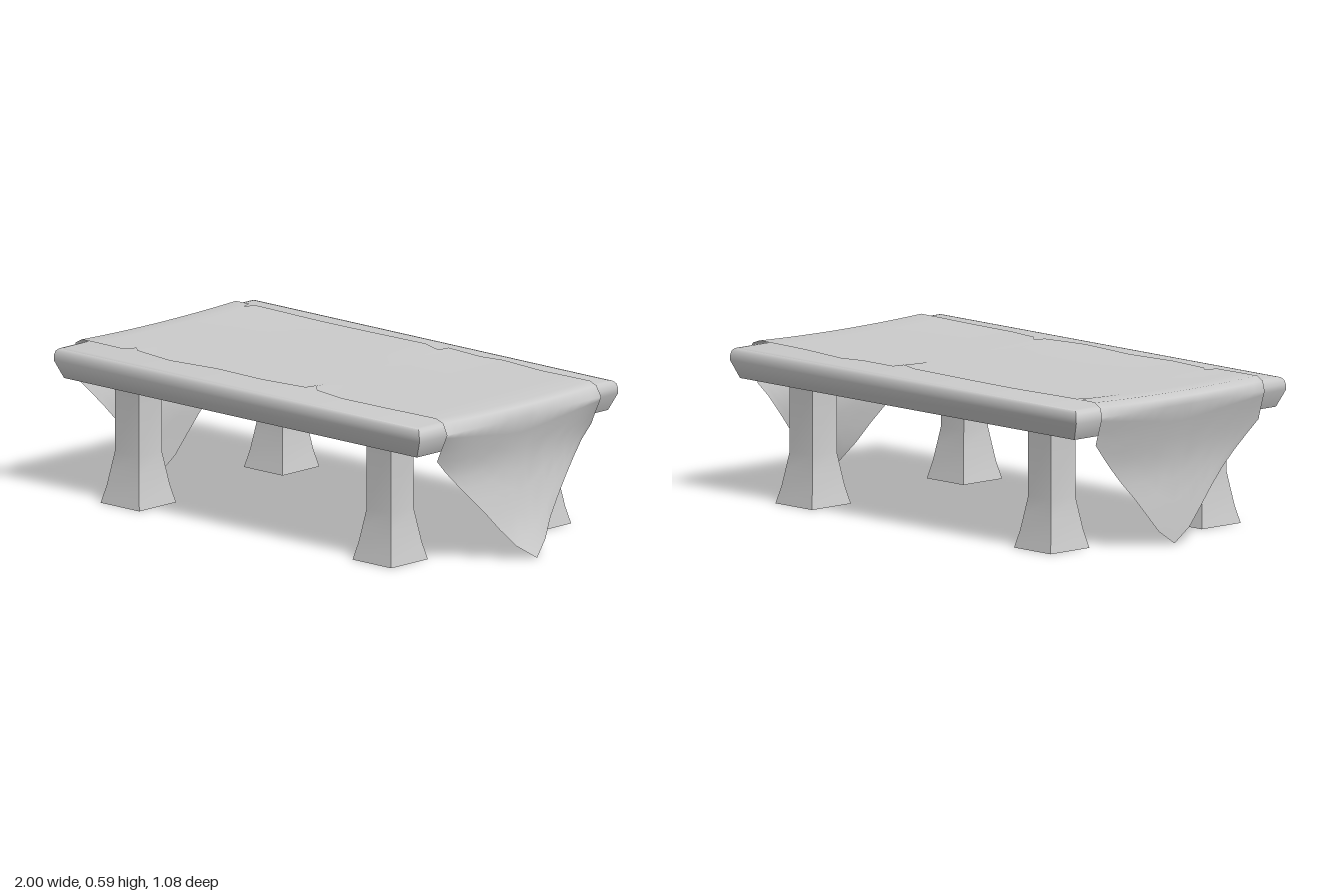
import * as THREE from 'three';
import { toCreasedNormals } from 'three/addons/utils/BufferGeometryUtils.js';

// Piecewise-linear lookup through [input, output] pairs sorted by input
function lookup(points, v) {
  if (v <= points[0][0]) return points[0][1];
  for (let i = 1; i < points.length; i++) {
    const [a, b] = [points[i - 1], points[i]];
    if (v <= b[0]) return a[1] + (b[1] - a[1]) * (v - a[0]) / (b[0] - a[0]);
  }
  return points[points.length - 1][1];
}

// Closed solid from stacked rectangles: [y, halfX, halfZ], bottom to top
function stackedBox(levels, crease) {
  const pos = [];
  const ring = ([y, hx, hz]) => [[-hx, y, hz], [hx, y, hz], [hx, y, -hz], [-hx, y, -hz]];
  const quad = (a, b, c, d) => pos.push(...a, ...b, ...c, ...a, ...c, ...d);
  for (let i = 0; i < levels.length - 1; i++) {
    const lo = ring(levels[i]), hi = ring(levels[i + 1]);
    for (let k = 0; k < 4; k++) quad(lo[k], lo[(k + 1) % 4], hi[(k + 1) % 4], hi[k]);
  }
  const bottom = ring(levels[0]), top = ring(levels[levels.length - 1]);
  quad(...bottom.reverse());
  quad(...top);
  const g = new THREE.BufferGeometry();
  g.setAttribute('position', new THREE.Float32BufferAttribute(pos, 3));
  return toCreasedNormals(g, crease);
}

// Cloth: ragged long edges on the top, pointed flaps hanging over both ends
function clothGeometry() {
  const front = [[-1, .42], [-.74, .42], [-.72, .375], [-.69, .4], [-.5, .425], [-.28, .4], [-.03, .415],
    [.17, .39], [.18, .345], [.23, .39], [.38, .415], [.93, .415]];
  const back = [[-1, -.42], [-.89, -.42], [-.875, -.375], [-.865, -.42], [.02, -.42], [.12, -.385],
    [.125, -.435], [.3, -.425], [.4, -.445], [.62, -.42], [.93, -.42]];
  const hem = [[0, .005], [.08, .06], [.2, .2], [.42, .43]];
  const leftFall = [[0, -.953], [.12, -.948], [.28, -.937], [.35, -.947], [.45, -.972], [.54, -1]];
  const rightFall = [[0, 1], [.06, .965], [.13, .935], [.29, .9], [.37, .892], [.45, .908], [.54, .93]];
  const half = [.1, .19, .33, .476, .62, .75, .88, 1];
  const rows = [...half.map(t => -t).reverse(), 0, ...half];

  // One flap station, s = 0 at the table edge and 1 at the hem
  const flap = (fall, side, s) => rows.map(t => {
    const z = t * .42, y = THREE.MathUtils.lerp(.54, lookup(hem, Math.abs(z)), s);
    const tuck = side > 0 ? -.025 * s * Math.pow(Math.abs(t), 3) : 0;
    return [lookup(fall, y) + tuck, y, z];
  });
  const across = (x, drop) => rows.map(t => {
    const z = t < 0 ? -t * lookup(back, x) : t * lookup(front, x);
    return [x, .5845 + .007 * t * t + .002 * Math.cos(x * 7) * t * t - drop, z];
  });

  const steps = [.12, .25, .4, .55, .7, .85, 1];
  const xs = [...front, ...back].map(p => p[0]).concat([-.96, -.6, .75, .87])
    .filter(x => x > -.97 && x < .88).sort((a, b) => a - b).filter((x, i, a) => !i || x > a[i - 1]);
  const stations = [
    ...[...steps].reverse().map(s => flap(leftFall, -1, s)),
    flap(leftFall, -1, 0), across(-.99, .016),
    ...xs.map(x => across(x, 0)),
    across(.905, .012), flap(rightFall, 1, 0),
    ...steps.map(s => flap(rightFall, 1, s)),
  ];
  const n = rows.length, index = [];
  for (let i = 0; i < stations.length - 1; i++) {
    for (let j = 0; j < n - 1; j++) {
      const a = i * n + j, b = a + n;
      index.push(a, a + 1, b + 1, a, b + 1, b);
    }
  }
  const g = new THREE.BufferGeometry();
  g.setAttribute('position', new THREE.Float32BufferAttribute(stations.flat(2), 3));
  g.setIndex(index);
  g.computeVertexNormals();
  return g;
}

export function createModel() {
  const model = new THREE.Group();
  model.name = 'table';
  const grey = new THREE.MeshStandardMaterial({ color: 0xcccccc });
  grey.name = 'plain grey';
  const greyCloth = grey.clone();
  greyCloth.name = 'plain grey cloth';
  greyCloth.side = THREE.DoubleSide;

  const add = (name, geometry, material, x = 0, z = 0) => {
    const mesh = new THREE.Mesh(geometry, material);
    mesh.name = name;
    mesh.position.set(x, 0, z);
    model.add(mesh);
  };

  // Table top with a rounded upper rim and undercut sides
  add('tableTop', stackedBox([
    [.463, .913, .52], [.53, .946, .541], [.55, .945, .541], [.567, .94, .537], [.576, .93, .53], [.579, .915, .515],
  ], .9), grey, -.043);

  // Four square legs flaring at the foot
  const leg = stackedBox([
    [.003, .1, .1], [.07, .084, .084], [.13, .074, .074], [.2, .0625, .0625], [.47, .0625, .0625],
  ], .5);
  for (const [side, x] of [['left', .608], ['right', -.695]]) {
    add(side + 'FrontLeg', leg, grey, x, .39);
    add(side + 'BackLeg', leg, grey, x, -.39);
  }

  add('tableCloth', clothGeometry(), greyCloth);
  return model;
}
